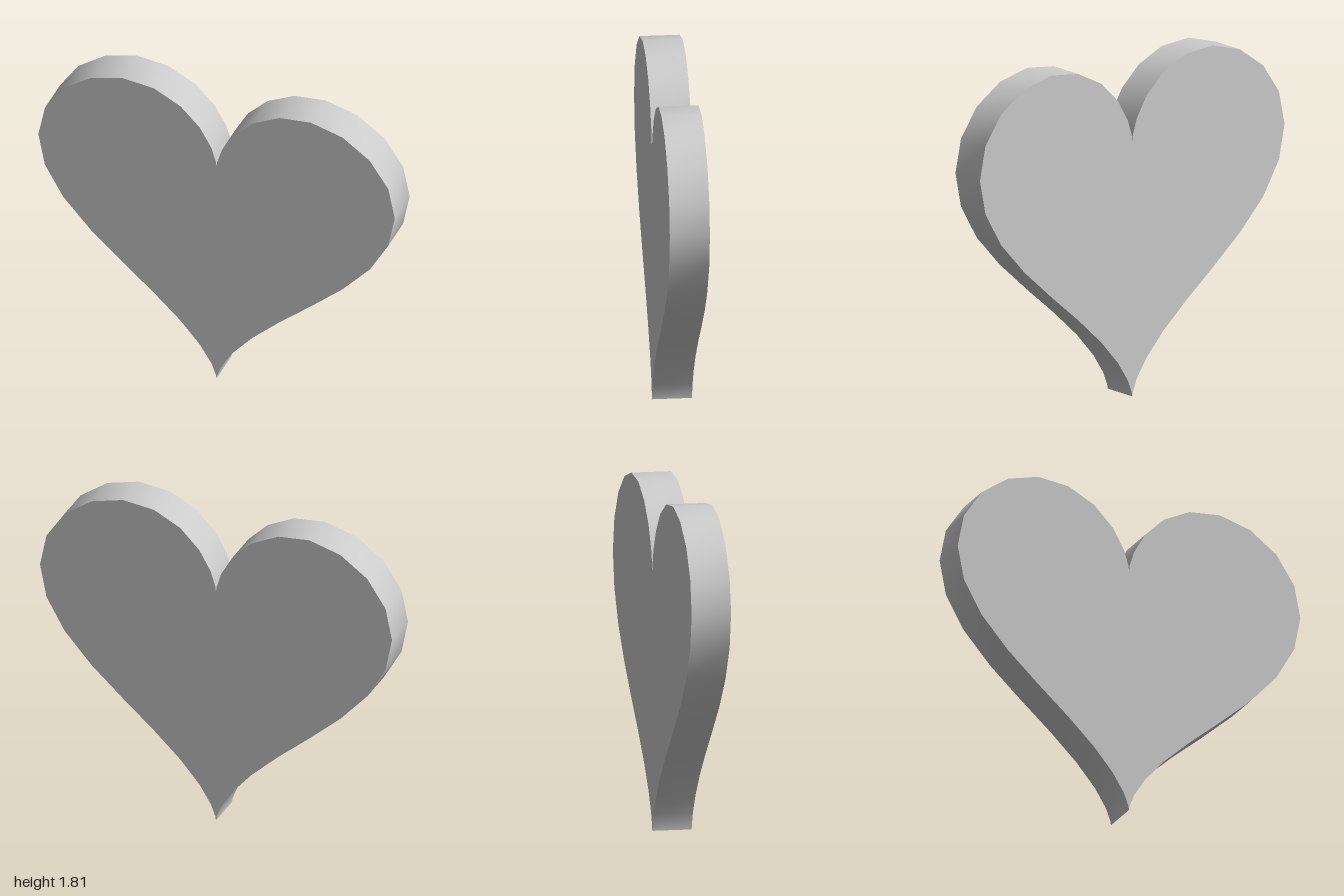
import * as THREE from 'three';
import { toCreasedNormals } from 'three/addons/utils/BufferGeometryUtils.js';

const SEGMENTS = 40;
const DEPTH = 0.21;

// Classic parametric heart curve, scaled to a width of 2 with its tip at y = 0
function heartPoint(t) {
  const x = 16 * Math.sin(t) ** 3;
  const y = 13 * Math.cos(t) - 5 * Math.cos(2 * t) - 2 * Math.cos(3 * t) - Math.cos(4 * t);
  return new THREE.Vector2(x / 16, (y + 17) / 16);
}

export function createModel() {
  const group = new THREE.Group();
  group.name = 'heart';

  // Outline, counter-clockwise
  const outline = [];
  for (let i = 0; i < SEGMENTS; i++) {
    outline.push(heartPoint(-i / SEGMENTS * Math.PI * 2));
  }

  // Flat slab with a smooth rim and sharp front and back edges
  const slab = new THREE.ExtrudeGeometry(new THREE.Shape(outline), {
    depth: DEPTH, bevelEnabled: false, steps: 1,
  });
  slab.translate(0, 0, -DEPTH / 2);
  const body = new THREE.Mesh(
    toCreasedNormals(slab, Math.PI / 4),
    new THREE.MeshStandardMaterial({ color: 0xcccccc }),
  );
  body.name = 'heartBody';
  group.add(body);
  return group;
}
